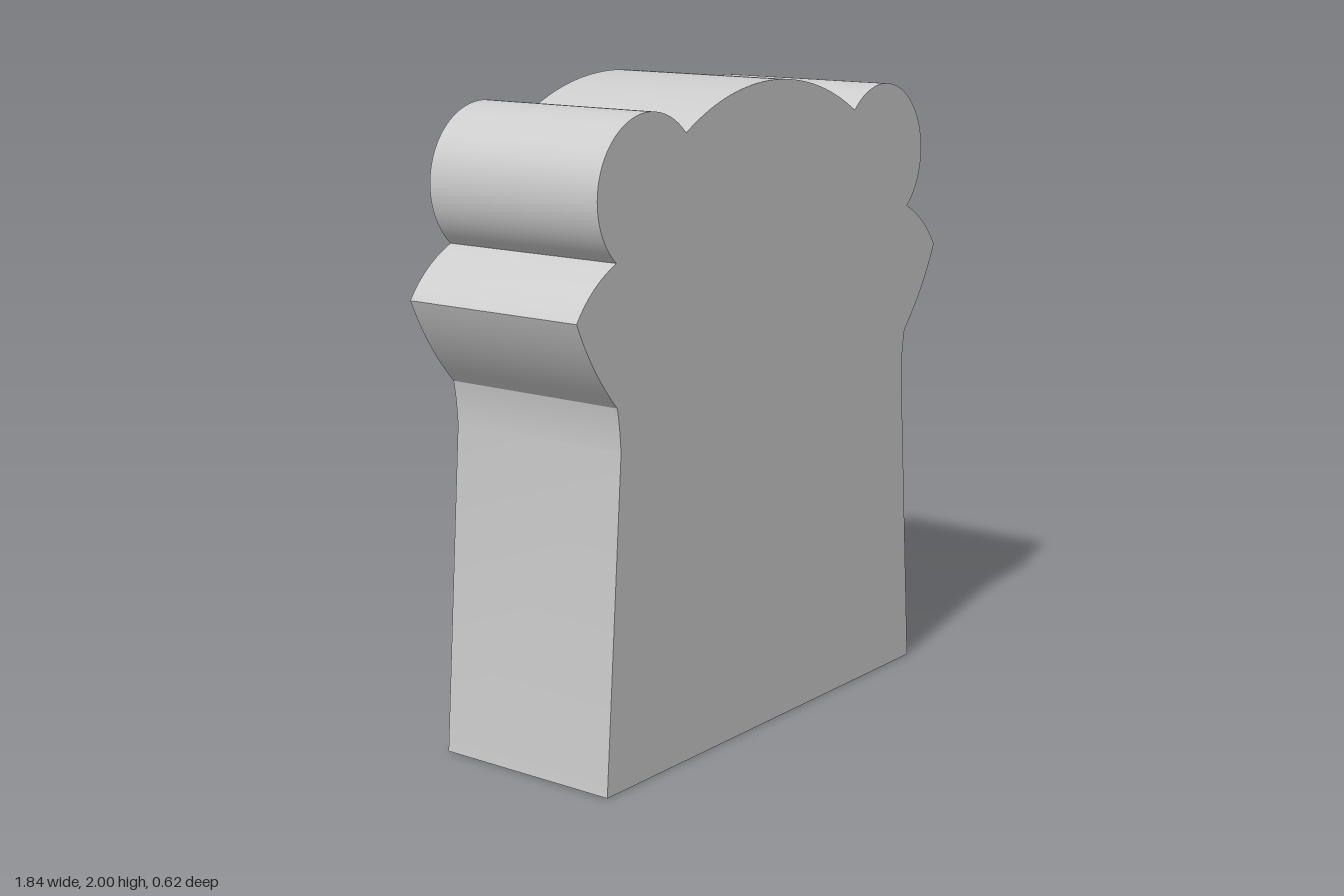
import * as THREE from 'three';
import { toCreasedNormals } from 'three/addons/utils/BufferGeometryUtils.js';

const DEPTH = 0.62;

// Left half of the outline, from the base up to the crown
function halfOutline() {
  const path = new THREE.Path();
  path.moveTo(0.808, 0);
  path.lineTo(0.735, 1.0);
  path.quadraticCurveTo(0.737, 1.07, 0.75, 1.137);          // neck
  path.quadraticCurveTo(0.86, 1.255, 0.922, 1.4);           // under the cheek
  path.quadraticCurveTo(0.86, 1.495, 0.75, 1.545);          // over the cheek
  const ear = new THREE.Vector2(0.6, 1.72);
  path.absarc(ear.x, ear.y, 0.23,
    Math.atan2(1.545 - ear.y, 0.75 - ear.x), Math.atan2(1.88 - ear.y, 0.43 - ear.x), false);
  const radius = 0.83, cy = 2 - radius;                     // crown
  path.absarc(0, cy, radius, Math.atan2(1.88 - cy, 0.43), Math.PI / 2, false);
  return path.getPoints(24);
}

export function createModel() {
  const group = new THREE.Group();
  group.name = 'bearHeadBlock';

  // Mirror the half outline and extrude it
  const left = halfOutline();
  const right = left.slice(0, -1).reverse().map((p) => new THREE.Vector2(-p.x, p.y));
  const geometry = new THREE.ExtrudeGeometry(new THREE.Shape([...left, ...right]), {
    depth: DEPTH, bevelEnabled: false,
  });
  geometry.translate(0, 0, -DEPTH / 2);

  const body = new THREE.Mesh(
    toCreasedNormals(geometry, 0.4),
    new THREE.MeshStandardMaterial({ color: 0xcccccc }),
  );
  body.name = 'bearHeadSilhouette';
  group.add(body);
  return group;
}
